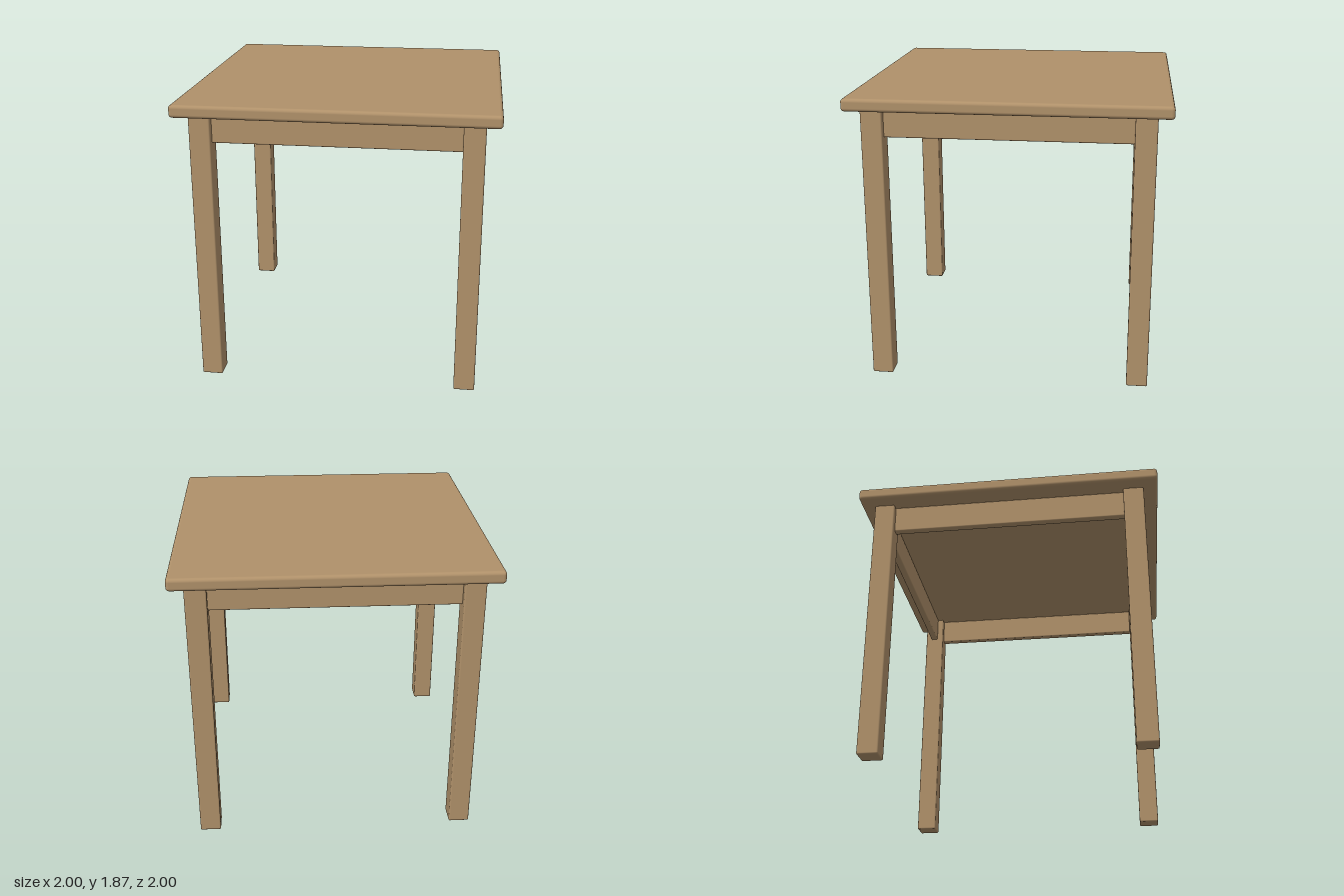
import * as THREE from 'three';
import { RoundedBoxGeometry } from 'three/addons/geometries/RoundedBoxGeometry.js';

export function createModel() {
  const table = new THREE.Group();
  table.name = 'squareTable';
  const wood = new THREE.MeshStandardMaterial({ color: 0xb0916a });
  wood.name = 'wood';

  // Box with softened edges, placed by its centre
  const addPart = (name, [w, h, d], [x, y, z], radius, turn = 0) => {
    const mesh = new THREE.Mesh(new RoundedBoxGeometry(w, h, d, 4, radius), wood);
    mesh.name = name;
    mesh.position.set(x, y, z);
    mesh.rotation.y = turn;
    table.add(mesh);
  };

  const underside = 1.79;
  const legCentre = 0.84;

  // Table top
  addPart('tableTop', [2, 0.08, 2], [0, underside + 0.04, 0], 0.022);

  // Four square legs
  for (const [sx, side] of [[1, 'Left'], [-1, 'Right']]) {
    for (const [sz, end] of [[1, 'front'], [-1, 'back']]) {
      addPart(`${end}${side}Leg`, [0.135, underside, 0.135],
        [sx * legCentre, underside / 2, sz * legCentre], 0.01);
    }
  }

  // Apron rails between the legs, set on the leg centre lines
  ['front', 'left', 'back', 'right'].forEach((side, i) => {
    const turn = i * Math.PI / 2;
    addPart(`${side}Apron`, [1.55, 0.185, 0.05],
      [Math.sin(turn) * legCentre, underside - 0.0925, Math.cos(turn) * legCentre], 0.009, turn);
  });

  return table;
}
